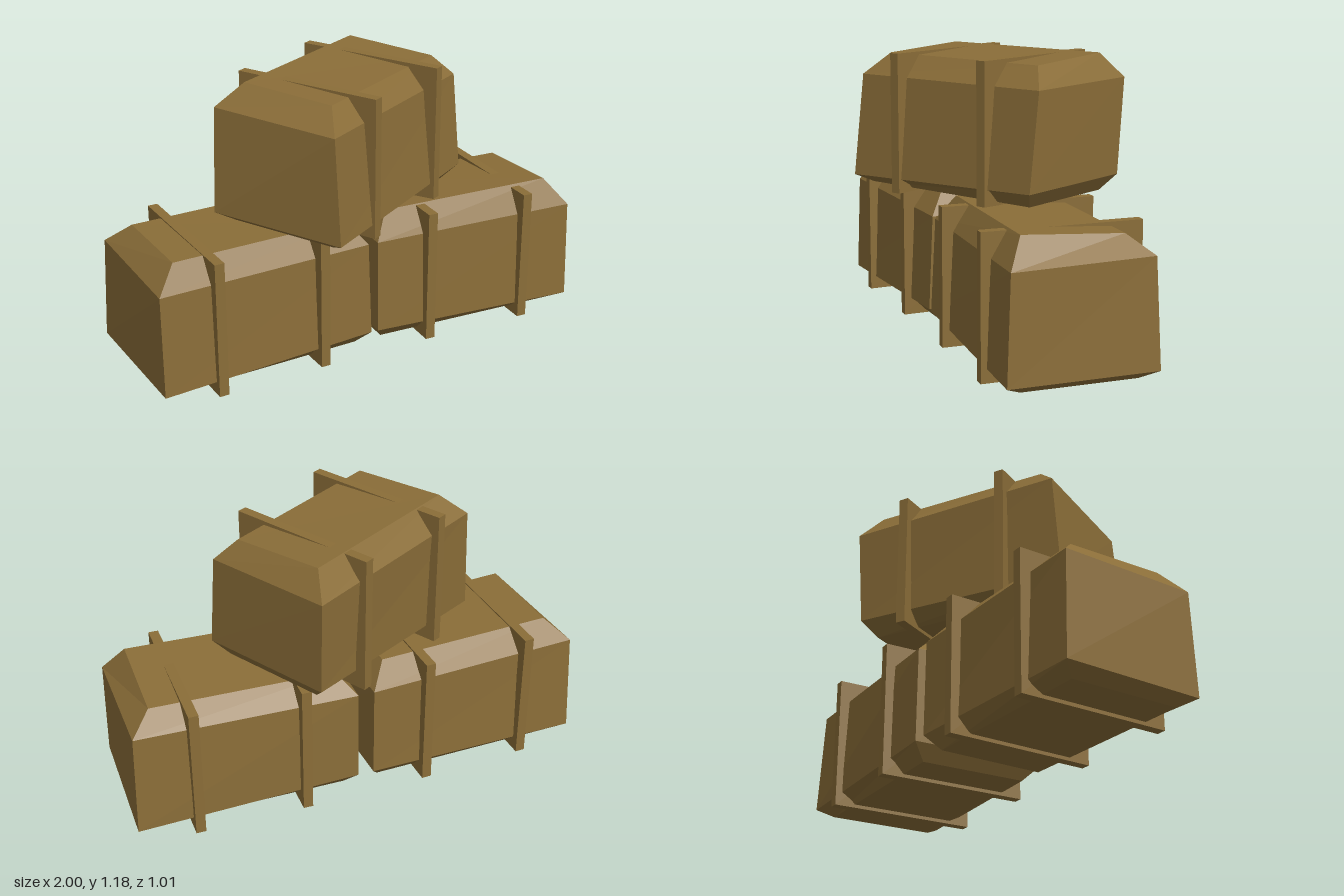
import * as THREE from 'three';

const straw = new THREE.MeshStandardMaterial({ color: 0x8a6d38 });
straw.name = 'straw';

// Four rings from bottom to top; corners run back-left, front-left, front-right, back-right
const RINGS = [
  [[-0.43, 0.015, -0.24], [-0.43, 0.015, 0.24], [0.43, 0.015, 0.235], [0.43, 0.015, -0.235]],
  [[-0.49, 0.055, -0.305], [-0.48, 0.05, 0.31], [0.475, 0.08, 0.3], [0.475, 0.08, -0.295]],
  [[-0.475, 0.5, -0.285], [-0.475, 0.485, 0.295], [0.47, 0.485, 0.28], [0.475, 0.49, -0.29]],
  [[-0.385, 0.585, -0.195], [-0.385, 0.588, 0.225], [0.4, 0.583, 0.21], [0.4, 0.583, -0.205]],
];

// Bevelled, slightly uneven block: optional mirror in x, sideways lean and slope of the top
function baleGeometry({ mirror = false, leanX = 0, leanZ = 0, slope = 0 }) {
  const rings = RINGS.map((ring, level) => {
    const points = ring.map(([x, y, z]) => new THREE.Vector3(
      (mirror ? -x : x) + leanX * (y - 0.27),
      y + (level === 3 ? slope * z : 0),
      z + leanZ * (y - 0.27),
    ));
    return mirror ? points.reverse() : points;
  });
  const corners = [];
  const quad = (a, b, c, d) => corners.push(a, b, c, a, c, d);
  for (let level = 0; level < 3; level++) {
    for (let i = 0; i < 4; i++) {
      const j = (i + 1) % 4;
      quad(rings[level][i], rings[level][j], rings[level + 1][j], rings[level + 1][i]);
    }
  }
  quad(...rings[3]);
  quad(...[...rings[0]].reverse());
  const geometry = new THREE.BufferGeometry().setFromPoints(corners);
  geometry.computeVertexNormals();
  return geometry;
}

// One bale with its two straps
function makeBale(name, position, yawDegrees, shape) {
  const group = new THREE.Group();
  group.name = name;
  const block = new THREE.Mesh(baleGeometry(shape), straw);
  block.name = 'strawBlock';
  group.add(block);
  for (const side of [-1, 1]) {
    const strap = new THREE.Mesh(new THREE.BoxGeometry(0.042, 0.59, 0.665), straw);
    strap.name = side < 0 ? 'rightStrap' : 'leftStrap';
    strap.position.set(side * 0.235, 0.295, 0);
    group.add(strap);
  }
  group.position.set(...position);
  group.rotation.y = THREE.MathUtils.degToRad(yawDegrees);
  return group;
}

export function createModel() {
  const model = new THREE.Group();
  model.name = 'strawBaleStack';
  model.add(
    makeBale('lowerRightBale', [-0.5, 0, 0], 2, {}),
    makeBale('lowerLeftBale', [0.5, 0, 0], -1.7, { mirror: true, slope: 0.055 }),
    makeBale('upperBale', [-0.015, 0.59, 0.008], 28.5, { leanX: 0.035, leanZ: -0.06, slope: -0.05 }),
  );
  return model;
}
